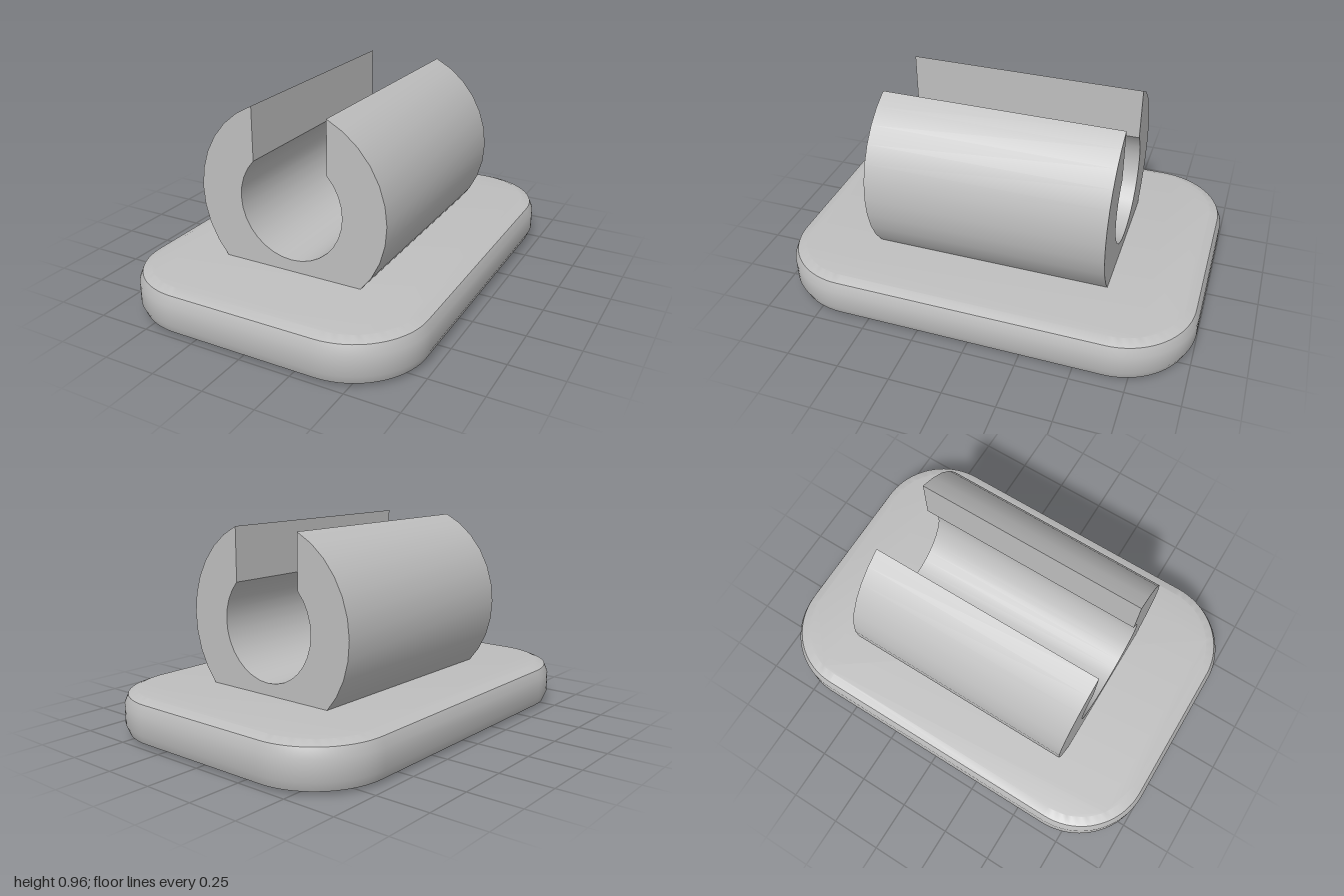
import * as THREE from 'three';
import { toCreasedNormals } from 'three/addons/utils/BufferGeometryUtils.js';

const CREASE = 0.6;

// Rounded rectangle outline with half sizes w, h and corner radius r
function roundedRect(w, h, r) {
  const s = new THREE.Shape();
  const q = Math.PI / 2;
  s.absarc(w - r, h - r, r, 0, q);
  s.absarc(r - w, h - r, r, q, 2 * q);
  s.absarc(r - w, r - h, r, 2 * q, 3 * q);
  s.absarc(w - r, r - h, r, 3 * q, 4 * q);
  s.closePath();
  return s;
}

// Points along an arc about (0, cy)
function arc(cy, r, from, to, n) {
  return Array.from({ length: n + 1 }, (_, i) => {
    const a = from + ((to - from) * i) / n;
    return new THREE.Vector2(r * Math.cos(a), cy + r * Math.sin(a));
  });
}

export function createModel() {
  const group = new THREE.Group();
  const grey = new THREE.MeshStandardMaterial({ color: 0xbebebe });
  grey.name = 'grey plastic';

  // Base plate with rounded corners and softened rims
  const height = 0.215, bevel = 0.06;
  const baseGeo = new THREE.ExtrudeGeometry(roundedRect(0.714, 1, 0.36), {
    depth: height - 2 * bevel, curveSegments: 10,
    bevelThickness: bevel, bevelSize: bevel, bevelOffset: -bevel, bevelSegments: 2,
  });
  baseGeo.translate(0, 0, bevel).rotateX(-Math.PI / 2);
  const base = new THREE.Mesh(toCreasedNormals(baseGeo, CREASE), grey);
  base.name = 'basePlate';
  group.add(base);

  // Open C-shaped clip: outer arcs up both sides, bore, slot at the top, flat foot
  const cy = 0.53, outer = 0.47, inner = 0.2585, slot = 0.186, foot = 0.21;
  const top = Math.acos(slot / outer);
  const low = Math.asin((foot - cy) / outer);
  const lip = Math.acos(slot / inner);
  const outline = [
    ...arc(cy, outer, low, top, 10),
    ...arc(cy, inner, lip, -Math.PI - lip, 24),
    ...arc(cy, outer, Math.PI - top, Math.PI - low, 10),
  ];
  const length = 1.14;
  const clipGeo = new THREE.ExtrudeGeometry(new THREE.Shape(outline), { depth: length, bevelEnabled: false });
  clipGeo.translate(0, 0, -length / 2);
  const clip = new THREE.Mesh(toCreasedNormals(clipGeo, CREASE), grey);
  clip.name = 'clip';
  group.add(clip);

  return group;
}
